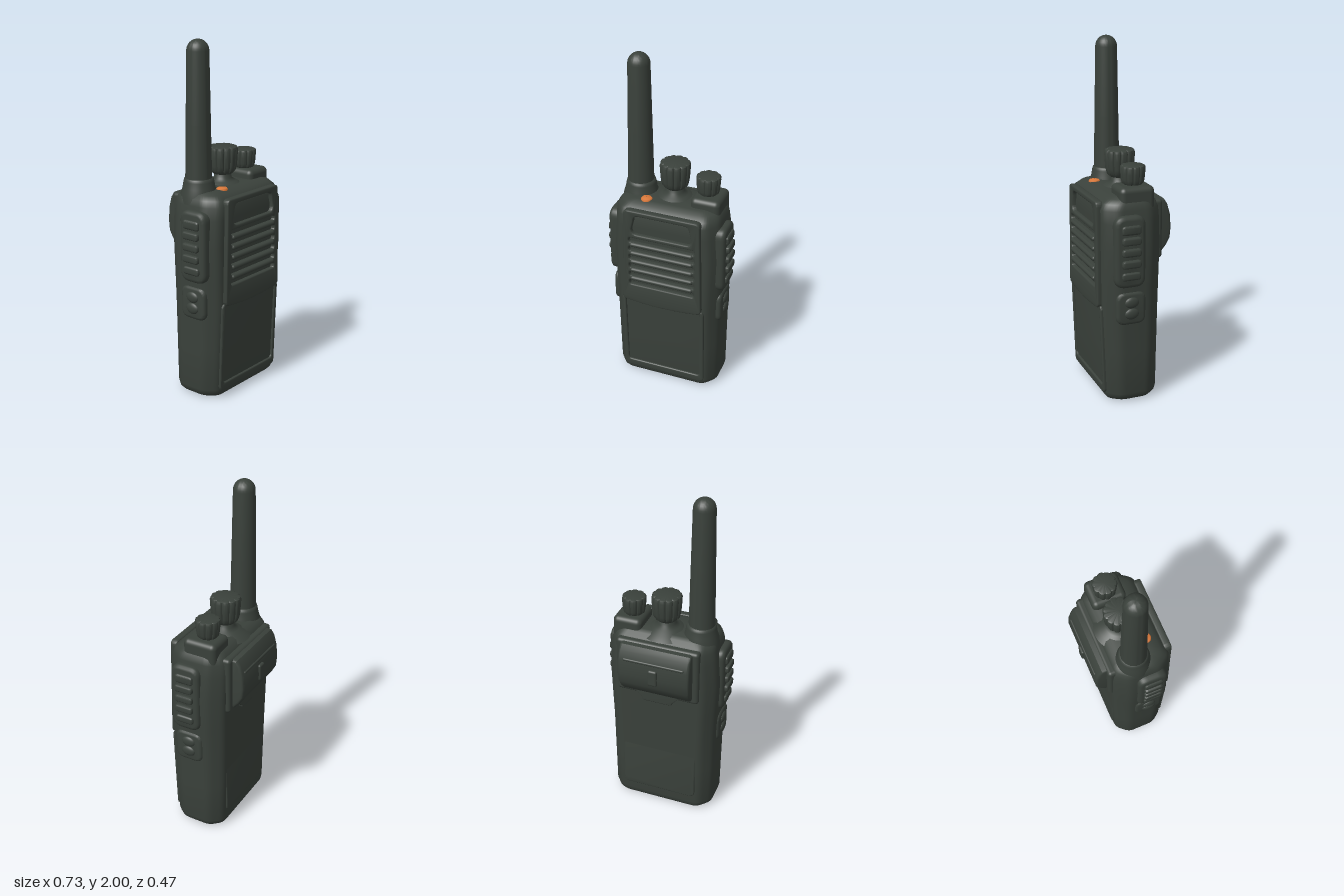
import * as THREE from 'three';
import { RoundedBoxGeometry } from 'three/addons/geometries/RoundedBoxGeometry.js';
import { toCreasedNormals } from 'three/addons/utils/BufferGeometryUtils.js';

const darkCase = new THREE.MeshStandardMaterial({ color: 0x3a413b });
darkCase.name = 'darkCase';
const orangeButton = new THREE.MeshStandardMaterial({ color: 0xd9783a });
orangeButton.name = 'orangeButton';

export function createModel() {
  const model = new THREE.Group();
  model.name = 'handheldRadio';

  const add = (name, geometry, x = 0, y = 0, z = 0, parent = model, material = darkCase) => {
    const mesh = new THREE.Mesh(geometry, material);
    mesh.name = name;
    mesh.position.set(x, y, z);
    parent.add(mesh);
    return mesh;
  };

  // Closed outline with every corner rounded; w0 and w1 are bottom and top half widths
  const rounded = (w0, w1, y0, y1, r, target = new THREE.Shape(), sag = 0) => {
    target.moveTo(-w0 + r, y0);
    target.quadraticCurveTo(0, y0 - 2 * sag, w0 - r, y0);
    target.quadraticCurveTo(w0, y0, w0, y0 + r);
    target.lineTo(w1, y1 - r);
    target.quadraticCurveTo(w1, y1, w1 - r, y1);
    target.lineTo(-w1 + r, y1);
    target.quadraticCurveTo(-w1, y1, -w1, y1 - r);
    target.lineTo(-w0, y0 + r);
    target.quadraticCurveTo(-w0, y0, -w0 + r, y0);
    return target;
  };
  const plate = (shape, depth, bevel) => toCreasedNormals(new THREE.ExtrudeGeometry(shape, {
    depth, bevelEnabled: true, bevelThickness: bevel, bevelSize: bevel,
    bevelOffset: -bevel, bevelSegments: 3, curveSegments: 10,
  }), 0.6);

  // Horizontal section of the case: chamfered rectangle with softened corners
  const section = ([y, hx, zf, zb]) => {
    const half = [[1, zb * 0.45], [1, zf * 0.6], [0.82, zf]];
    const corners = [[0.8, zb], ...half, [-0.82, zf], [-1, zf * 0.6], [-1, zb * 0.45], [-0.8, zb]]
      .map(([fx, z]) => new THREE.Vector2(fx * hx, z));
    const ring = [];
    corners.forEach((c, i) => {
      const prev = corners[(i + corners.length - 1) % corners.length];
      const next = corners[(i + 1) % corners.length];
      const reach = (o) => c.clone().lerp(o, Math.min(0.4, 0.03 / c.distanceTo(o)));
      new THREE.QuadraticBezierCurve(reach(prev), c, reach(next)).getPoints(4)
        .forEach((p) => ring.push([p.x, y, p.y]));
    });
    return ring;
  };

  const loft = (levels) => {
    const rings = levels.map(section);
    const n = rings[0].length;
    const positions = rings.flat(2);
    const index = [];
    for (let j = 0; j < rings.length - 1; j++) {
      for (let i = 0; i < n; i++) {
        const a = j * n + i, b = j * n + (i + 1) % n;
        index.push(a, a + n, b, b, a + n, b + n);
      }
    }
    const bottom = positions.length / 3, top = bottom + 1, last = (rings.length - 1) * n;
    positions.push(0, levels[0][0], 0.03, 0, levels.at(-1)[0], 0.02);
    for (let i = 0; i < n; i++) {
      const k = (i + 1) % n;
      index.push(bottom, i, k, top, last + k, last + i);
    }
    const g = new THREE.BufferGeometry();
    g.setAttribute('position', new THREE.Float32BufferAttribute(positions, 3));
    g.setIndex(index);
    return toCreasedNormals(g, 0.7);
  };

  // Case: height, half width, front, back
  add('case', loft([
    [0, 0.265, 0.14, -0.09], [0.008, 0.29, 0.165, -0.112], [0.025, 0.306, 0.177, -0.123],
    [0.05, 0.313, 0.181, -0.127], [0.3, 0.315, 0.19, -0.131], [0.55, 0.317, 0.2, -0.135],
    [0.7, 0.322, 0.2, -0.137], [0.9, 0.328, 0.2, -0.14], [1.05, 0.316, 0.2, -0.14],
    [1.12, 0.306, 0.2, -0.136], [1.155, 0.298, 0.187, -0.122],
    [1.178, 0.28, 0.155, -0.1], [1.19, 0.25, 0.12, -0.075],
  ]));

  // Speaker panel with a label recess and slots
  const speaker = rounded(0.238, 0.225, 0.56, 1.165, 0.03, new THREE.Shape(), 0.014);
  speaker.holes.push(rounded(0.178, 0.165, 1.015, 1.135, 0.035, new THREE.Path()));
  const slotYs = [0.975, 0.918, 0.861, 0.804, 0.747, 0.69];
  slotYs.forEach((y) => speaker.holes.push(rounded(0.195, 0.195, y - 0.015, y + 0.015, 0.013, new THREE.Path())));
  add('speakerPanel', plate(speaker, 0.026, 0.008), 0, 0, 0.19);
  slotYs.slice(0, -1).forEach((y) => {
    const rib = add('speakerRib', new THREE.CapsuleGeometry(0.014, 0.35, 6, 14), 0, y - 0.0285, 0.219);
    rib.rotation.z = Math.PI / 2;
  });

  // Raised border around the lower front
  const border = rounded(0.25, 0.25, 0, 0.53, 0.03);
  border.holes.push(rounded(0.226, 0.226, 0.045, 0.515, 0.02, new THREE.Path()));
  add('frontBorder', plate(border, 0.012, 0.006), 0, 0.045, 0.174).rotation.x = 0.036;

  // Battery cover and latch on the back
  const cover = add('batteryCover', plate(rounded(0.225, 0.225, 0, 0.67, 0.035), 0.012, 0.005), 0, 0.1, -0.121);
  cover.rotation.set(0.018, Math.PI, 0);
  add('batteryLatch', plate(rounded(0.09, 0.14, 0.765, 0.85, 0.015), 0.03, 0.006), 0, 0, -0.125).rotation.y = Math.PI;

  // Rear clip block, profile swept across the back
  add('clipMount', new RoundedBoxGeometry(0.49, 0.34, 0.06, 4, 0.02), 0, 0.98, -0.131);
  const clip = new THREE.Shape([
    [0.1, 0.835], [0.17, 0.835], [0.2, 0.87], [0.222, 0.91], [0.228, 0.97],
    [0.222, 1.05], [0.205, 1.11], [0.185, 1.14], [0.1, 1.145],
  ].map((p) => new THREE.Vector2(...p)));
  add('clip', plate(clip, 0.392, 0.015), -0.211, 0, 0).rotation.y = Math.PI / 2;
  model.getObjectByName('clip').position.x = -0.196;
  add('clipTab', new RoundedBoxGeometry(0.055, 0.1, 0.03, 3, 0.012), 0, 0.98, -0.222);
  add('clipRidge', new RoundedBoxGeometry(0.36, 0.018, 0.02, 3, 0.008), 0, 1.06, -0.214);

  // Side controls, mirrored left and right
  for (const side of [1, -1]) {
    const controls = new THREE.Group();
    controls.name = side > 0 ? 'leftControls' : 'rightControls';
    const sidePlate = (name, halfZ, y0, y1, r, inner, outer, bevel) => {
      const mesh = add(name, plate(rounded(halfZ, halfZ, y0, y1, r), outer - inner - 2 * bevel, bevel),
        side * (inner + bevel), 0, 0.066, controls);
      mesh.rotation.y = side * Math.PI / 2;
      return mesh;
    };
    sidePlate('gripPad', 0.088, 0.695, 1.1, 0.06, 0.27, 0.345, 0.022);
    [0.765, 0.835, 0.9, 0.965, 1.025].forEach((y, i) => {
      const tall = i === 4 ? 0.026 : 0.022;
      sidePlate('gripRidge', 0.055, y - tall, y + tall, 0.018, 0.33, i === 0 || i === 4 ? 0.358 : 0.365, 0.01);
    });
    sidePlate('buttonPad', 0.085, 0.475, 0.665, 0.05, 0.27, 0.33, 0.018).position.z = 0.056;
    [0.54, 0.605].forEach((y) => {
      const button = add('sideButton', new THREE.SphereGeometry(1, 20, 12), side * 0.328, y, 0.056, controls);
      button.scale.set(0.016, 0.032, 0.042);
    });
    model.add(controls);
  }

  // Turned parts: profile of [radius, height]
  const lathe = (profile, segments = 48) =>
    new THREE.LatheGeometry(profile.map((p) => new THREE.Vector2(...p)), segments);
  const tip = Array.from({ length: 9 }, (_, i) => {
    const a = i / 8 * Math.PI / 2;
    return [0.061 * Math.cos(a), 1.939 + 0.061 * Math.sin(a)];
  });
  add('antenna', toCreasedNormals(lathe([[0.074, 1.2], [0.073, 1.27], [0.068, 1.55], ...tip]), 0.6), -0.205, 0, 0);
  add('antennaCollar', lathe([[0.105, 1.12], [0.1, 1.17], [0.09, 1.2], [0.084, 1.235], [0.08, 1.25], [0.07, 1.255]]), -0.203, 0, 0);
  add('knobBase', lathe([[0.14, 1.16], [0.11, 1.182], [0.075, 1.2], [0.05, 1.215], [0.046, 1.26]]), 0, 0, 0);
  add('knobShoulder', new RoundedBoxGeometry(0.17, 0.16, 0.2, 5, 0.03), 0.207, 1.162, 0.005);

  // Control knobs with scalloped sides
  const knob = (name, x, y, radius, height, lobes) => {
    const g = lathe([[0.001, 0], [0.62, 0], [0.82, 0.12], [0.9, 0.3], [0.94, 0.6], [0.97, 0.88],
      [0.92, 0.97], [0.82, 1], [0.001, 1]], lobes * 10);
    const p = g.attributes.position;
    for (let i = 0; i < p.count; i++) {
      const r = Math.hypot(p.getX(i), p.getZ(i));
      const wave = Math.sqrt(Math.abs(Math.cos(Math.atan2(p.getZ(i), p.getX(i)) * lobes / 2)));
      const k = radius * (r > 0.7 ? 0.91 + 0.12 * wave : 1);
      p.setXYZ(i, p.getX(i) * k, p.getY(i) * height, p.getZ(i) * k);
    }
    add(name, toCreasedNormals(g, 0.6), x, y, 0);
  };
  knob('channelKnob', 0, 1.24, 0.087, 0.155, 12);
  knob('volumeKnob', 0.195, 1.235, 0.07, 0.112, 10);

  // Emergency button
  add('emergencyButton', lathe([[0.033, -0.02], [0.033, 0.006], [0.027, 0.014], [0.001, 0.017]], 24),
    -0.13, 1.183, 0.103, model, orangeButton);

  return model;
}
